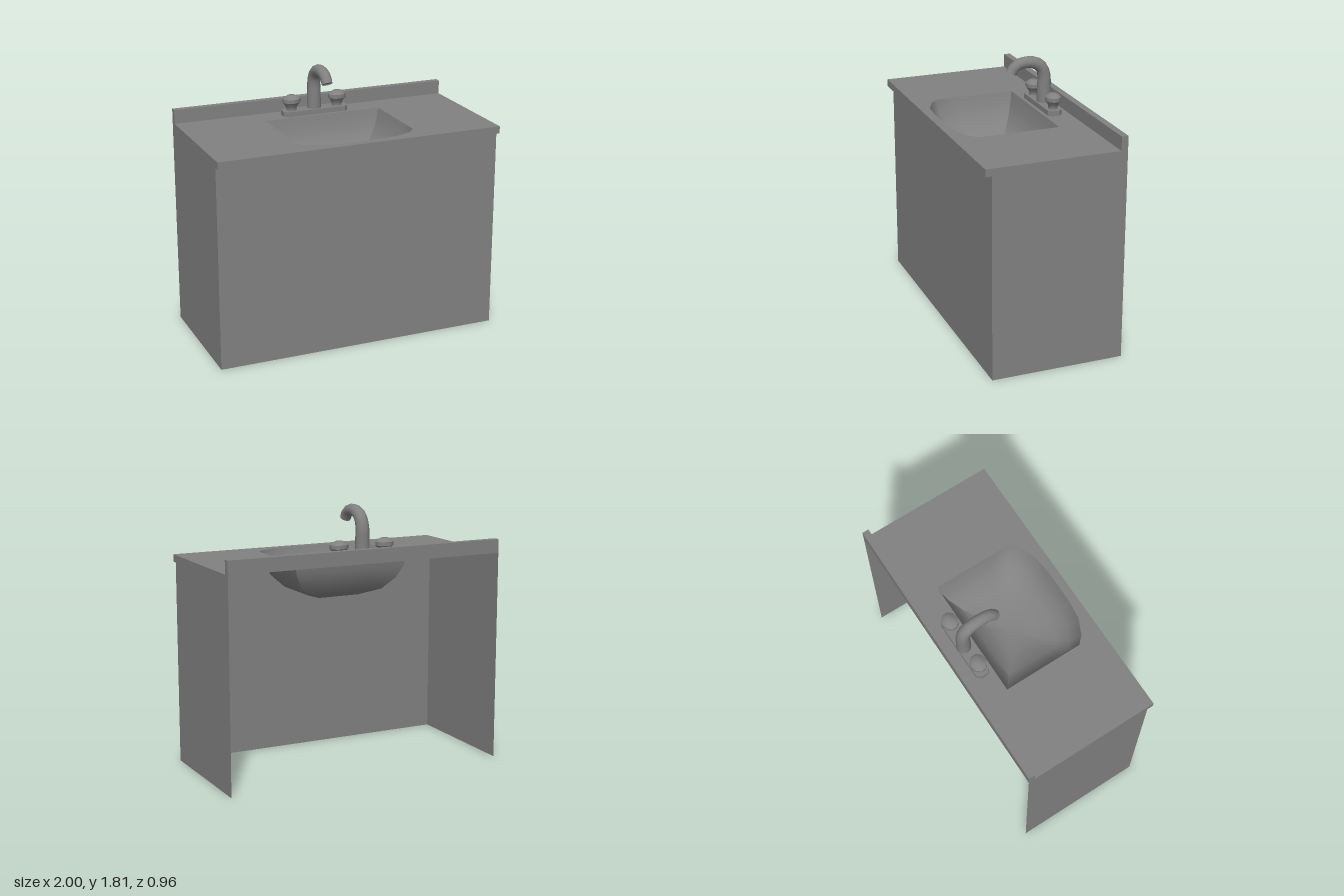
import * as THREE from 'three';
import { toCreasedNormals } from 'three/addons/utils/BufferGeometryUtils.js';

const material = new THREE.MeshStandardMaterial({ color: 0x818181, side: THREE.DoubleSide });

// Basin rim seen from above, as [x, z]
const RIM = [
  [-0.41, -0.255], [-0.2, -0.255], [0.01, -0.255], [0.22, -0.255], [0.435, -0.255],
  [0.435, -0.05], [0.435, 0.15], [0.435, 0.305], [0.38, 0.36], [0.27, 0.405], [0.14, 0.42],
  [-0.12, 0.42], [-0.25, 0.405], [-0.36, 0.355], [-0.41, 0.305], [-0.41, 0.15], [-0.41, -0.05],
];
const TOP = 1.45, FRONT = 0.435, LIP = 0.478, BACK = -0.478, SPLASH = -0.432;

function add(parent, name, geometry, x = 0, y = 0, z = 0) {
  const mesh = new THREE.Mesh(geometry, material);
  mesh.name = name;
  mesh.position.set(x, y, z);
  parent.add(mesh);
  return mesh;
}

// Outline points from [x, z], ready to be laid flat
const flatPoints = (pts) => pts.map(([x, z]) => new THREE.Vector2(x, -z));

// Flat sheet across the full width between two [z, y] profile points
function strip([z0, y0], [z1, y1]) {
  const g = new THREE.BufferGeometry();
  g.setAttribute('position', new THREE.Float32BufferAttribute(
    [-1, y0, z0, 1, y0, z0, 1, y1, z1, -1, y1, z1], 3));
  g.setIndex([0, 1, 2, 0, 2, 3]);
  g.computeVertexNormals();
  return g;
}

// Basin: the rim shrinks towards a low point, ring by ring
function basinGeometry() {
  const rings = [[1, 0], [0.95, 0.08], [0.85, 0.16], [0.66, 0.24], [0.35, 0.285], [0, 0.3]];
  const cx = 0.01, cz = 0.05, n = RIM.length;
  const positions = [], index = [];
  for (const [s, depth] of rings)
    for (const [x, z] of RIM) positions.push(cx + (x - cx) * s, TOP - depth, cz + (z - cz) * s);
  for (let r = 0; r < rings.length - 1; r++)
    for (let i = 0; i < n; i++) {
      const a = r * n + i, b = r * n + (i + 1) % n;
      index.push(a, b, a + n);
      if (r < rings.length - 2) index.push(b, b + n, a + n);
    }
  const g = new THREE.BufferGeometry();
  g.setAttribute('position', new THREE.Float32BufferAttribute(positions, 3));
  g.setIndex(index);
  return toCreasedNormals(g, 0.85);
}

// Spout: a bent tube that gets thinner towards its mouth
function buildSpout(parent, x) {
  const path = new THREE.CatmullRomCurve3([
    [1.48, -0.337], [1.58, -0.337], [1.67, -0.337], [1.73, -0.315], [1.763, -0.268],
    [1.772, -0.2], [1.762, -0.15], [1.742, -0.118], [1.707, -0.097],
  ].map(([y, z]) => new THREE.Vector3(x, y, z)));
  const steps = 14, sides = 12, radius = 0.05, endRadius = 0.037;
  const g = new THREE.TubeGeometry(path, steps, radius, sides);
  const pos = g.attributes.position, v = new THREE.Vector3();
  for (let i = 0; i < pos.count; i++) {
    const t = Math.floor(i / (sides + 1)) / steps;
    const centre = path.getPointAt(t);
    v.fromBufferAttribute(pos, i).sub(centre)
      .multiplyScalar(THREE.MathUtils.lerp(1, endRadius / radius, t)).add(centre);
    pos.setXYZ(i, v.x, v.y, v.z);
  }
  add(parent, 'spout', g);
  const end = path.getPointAt(1), dir = path.getTangentAt(1);
  const mouth = add(parent, 'spoutMouth', new THREE.CircleGeometry(endRadius, sides));
  mouth.position.copy(end).addScaledVector(dir, -0.008);
  mouth.quaternion.setFromUnitVectors(new THREE.Vector3(0, 0, 1), dir);
}

export function createModel() {
  const model = new THREE.Group();
  model.name = 'sinkCabinet';

  // Cabinet, open at the back and below
  const cabinet = new THREE.Group();
  cabinet.name = 'cabinet';
  model.add(cabinet);
  add(cabinet, 'frontPanel', strip([FRONT, 0], [FRONT, 1.4]));
  const side = new THREE.Shape([
    [FRONT, 0], [FRONT, 1.4], [LIP, 1.4], [LIP, TOP], [SPLASH, TOP], [SPLASH, 1.545],
    [BACK, 1.545], [BACK, 0],
  ].map(([z, y]) => new THREE.Vector2(-z, y)));
  for (const s of [1, -1]) {
    const g = new THREE.ShapeGeometry(side).rotateY(Math.PI / 2);
    add(cabinet, s > 0 ? 'leftPanel' : 'rightPanel', g, s);
  }

  // Countertop with the basin opening, front lip and backsplash
  const counter = new THREE.Group();
  counter.name = 'countertop';
  model.add(counter);
  const top = new THREE.Shape(flatPoints([[-1, BACK], [1, BACK], [1, LIP], [-1, LIP]]));
  top.holes.push(new THREE.Path(flatPoints(RIM)));
  add(counter, 'counterSurface', new THREE.ShapeGeometry(top).rotateX(-Math.PI / 2), 0, TOP, 0);
  add(counter, 'lipUnderside', strip([FRONT, 1.4], [LIP, 1.4]));
  add(counter, 'lipFront', strip([LIP, 1.4], [LIP, TOP]));
  add(counter, 'backsplashFront', strip([SPLASH, TOP], [SPLASH, 1.545]));
  add(counter, 'backsplashTop', strip([SPLASH, 1.545], [BACK, 1.545]));
  add(counter, 'backsplashBack', strip([BACK, 1.545], [BACK, TOP]));
  add(model, 'basin', basinGeometry());

  // Faucet, its base plate let slightly into the counter
  const faucet = new THREE.Group();
  faucet.name = 'faucet';
  model.add(faucet);
  const fx = -0.02, fz = -0.328;
  const plate = new THREE.Shape(flatPoints([
    [-0.238, -0.025], [-0.212, -0.05], [0.212, -0.05], [0.238, -0.025],
    [0.238, 0.025], [0.212, 0.05], [-0.212, 0.05], [-0.238, 0.025],
  ]));
  const plateGeometry = new THREE.ExtrudeGeometry(plate, { depth: 0.041, bevelEnabled: false });
  add(faucet, 'basePlate', plateGeometry.rotateX(-Math.PI / 2), fx, TOP - 0.006, fz);
  buildSpout(faucet, fx);

  // Turning handles
  const profile = [[0.036, 0], [0.036, 0.014], [0.046, 0.036], [0.063, 0.056], [0.063, 0.082],
    [0.03, 0.105], [0, 0.105]].map(([r, y]) => new THREE.Vector2(r, y));
  for (const s of [1, -1]) {
    const g = toCreasedNormals(new THREE.LatheGeometry(profile, 10), 0.65);
    const handle = add(faucet, s > 0 ? 'leftHandle' : 'rightHandle', g, fx + s * 0.17, 1.485, -0.332);
    handle.scale.z = 0.86;
  }
  return model;
}
